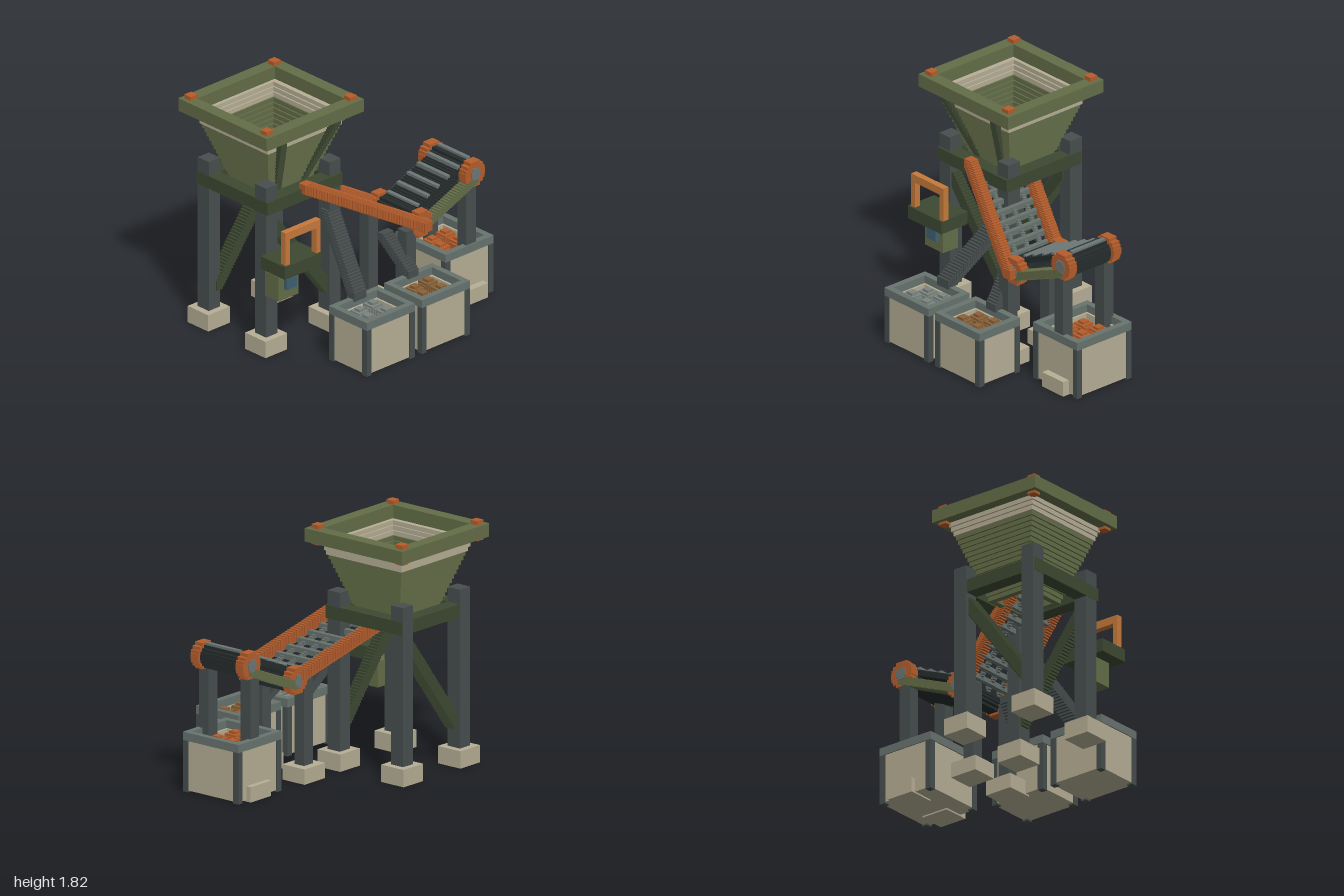
import * as THREE from 'three';
import { mergeGeometries } from 'three/addons/utils/BufferGeometryUtils.js';

const C = {
  olive: 0x646e48, moss: 0x3d4932, beige: 0xb7af96, iron: 0x474f4e, steel: 0x68746f,
  orange: 0xb65e2c, amber: 0xc87a3c, black: 0x262c2c, slat: 0x6d7876, blue: 0x3f6272,
  gravel: 0x7c8681, ochre: 0x8a6238,
};
const mats = {};
const mat = (c) => (mats[c] ??= new THREE.MeshStandardMaterial({ color: C[c], flatShading: true }));

// axis-aligned box given by its limits
function slab(x0, x1, y0, y1, z0, z1) {
  return new THREE.BoxGeometry(x1 - x0, y1 - y0, z1 - z0)
    .translate((x0 + x1) / 2, (y0 + y1) / 2, (z0 + z1) / 2);
}

// row of overlapping blocks from a to b, stepping like a staircase
function stepped(a, b, size, step = 0.024) {
  const p = new THREE.Vector3(...a), q = new THREE.Vector3(...b);
  const n = Math.ceil(p.distanceTo(q) / step);
  return Array.from({ length: n + 1 }, (_, i) => {
    const v = p.clone().lerp(q, i / n);
    return new THREE.BoxGeometry(...size).translate(v.x, v.y, v.z);
  });
}

// blocky disc facing z
function disc(x, y, r, z0, z1, rows = 8) {
  const h = (2 * r) / rows;
  return Array.from({ length: rows }, (_, i) => {
    const d = -r + h * (i + 0.5), w = Math.sqrt(r * r - d * d);
    return slab(x - w, x + w, y + d - h / 2, y + d + h / 2, z0, z1);
  });
}

// four-sided ring of bars
function ring(x0, x1, y0, y1, z0, z1, t) {
  return [
    slab(x0, x1, y0, y1, z0, z0 + t), slab(x0, x1, y0, y1, z1 - t, z1),
    slab(x0, x0 + t, y0, y1, z0 + t, z1 - t), slab(x1 - t, x1, y0, y1, z0 + t, z1 - t),
  ];
}

// blocky lump of material
function lump(x, y, z, r) {
  return [[1, 0.45, 0.6], [0.6, 0.45, 1], [0.8, 0.7, 0.8], [0.45, 1, 0.45]]
    .map(([a, b, c]) => new THREE.BoxGeometry(2 * r * a, 2 * r * b, 2 * r * c).translate(x, y, z));
}

export function createModel() {
  const root = new THREE.Group();
  const group = (name) => {
    const g = new THREE.Group();
    g.name = name;
    root.add(g);
    return g;
  };
  const add = (parent, name, color, parts) => {
    const m = new THREE.Mesh(mergeGeometries(parts), mat(color));
    m.name = name;
    parent.add(m);
  };

  // hopper: square rim over tapering hollow layers
  const hopper = group('hopper');
  const hx = -0.52, hz = -0.335;
  add(hopper, 'rim', 'olive', ring(-1, -0.04, 1.69, 1.79, -0.795, 0.13, 0.097));
  const caps = [];
  for (const x of [-0.935, -0.11]) for (const z of [-0.733, 0.063])
    caps.push(slab(x - 0.033, x + 0.033, 1.67, 1.82, z - 0.033, z + 0.033));
  add(hopper, 'rimCaps', 'orange', caps);
  const bands = { olive: [], beige: [] };
  const layers = 18, y0 = 1.08, dy = (1.69 - y0) / layers;
  for (let i = 0; i < layers; i++) {
    const h = 0.19 + (0.2 * i) / (layers - 1), y = y0 + i * dy;
    bands[i >= 15 ? 'beige' : 'olive']
      .push(...ring(hx - h, hx + h, y, y + dy, hz - h + 0.01, hz + h - 0.01, 0.045));
  }
  add(hopper, 'funnel', 'olive', bands.olive);
  add(hopper, 'funnelCollar', 'beige', bands.beige);
  for (const s of [-1, 1])
    add(hopper, 'hopperStrut', 'moss',
      stepped([hx + s * 0.265, 1.66, 0.06], [hx + s * 0.12, 1.16, -0.16], [0.06, 0.05, 0.05]));

  // tower: legs, pads, top ring and diagonal braces
  const tower = group('tower');
  const legs = [], pads = [];
  for (const x of [-0.845, -0.22]) for (const z of [-0.64, -0.04]) {
    legs.push(slab(x - 0.055, x + 0.055, 0.1, 1.32, z - 0.058, z + 0.058));
    pads.push(slab(x - 0.107, x + 0.107, 0, 0.13, z - 0.107, z + 0.107));
  }
  add(tower, 'legs', 'iron', legs);
  add(tower, 'footPads', 'beige', pads);
  add(tower, 'topBeams', 'moss', ring(-0.903, -0.162, 1.11, 1.21, -0.69, 0.035, 0.11));
  add(tower, 'backBrace', 'moss', stepped([-0.8, 0.31, -0.62], [-0.26, 1.03, -0.62], [0.06, 0.08, 0.1]));
  add(tower, 'frontBrace', 'moss', stepped([-0.8, 1.0, -0.04], [-0.26, 0.31, -0.04], [0.06, 0.08, 0.08]));

  // control station on the front corner leg
  const control = group('controlStation');
  add(control, 'platform', 'moss', [slab(-0.955, -0.595, 0.7, 0.8, 0.02, 0.275)]);
  add(control, 'handrail', 'amber', [
    slab(-0.935, -0.59, 1.0, 1.06, 0.21, 0.26),
    slab(-0.935, -0.895, 0.8, 1.0, 0.21, 0.26), slab(-0.632, -0.59, 0.8, 1.0, 0.21, 0.26),
  ]);
  add(control, 'controlBox', 'olive', [slab(-0.905, -0.71, 0.468, 0.662, 0.01, 0.155)]);
  add(control, 'controlPanel', 'blue', [slab(-0.852, -0.755, 0.55, 0.635, 0.15, 0.185)]);

  // sloping screen: skewed side rails with a lattice deck
  const screen = group('screen');
  const at = (t, z, drop = 0) => [-0.53 + 0.83 * t, 1.215 - 0.45 * t - drop, z + 0.37 * t];
  for (const z of [-0.425, 0.045])
    add(screen, 'sideRail', 'orange', stepped(at(0, z), at(1, z), [0.075, 0.075, 0.07]));
  const lattice = [];
  for (let i = 0; i < 10; i++) {
    const [x, y, z] = at(0.08 + i * 0.095, -0.425, 0.03);
    lattice.push(slab(x - 0.018, x + 0.018, y - 0.02, y + 0.02, z, z + 0.47));
  }
  for (const z of [-0.31, -0.19, -0.07])
    lattice.push(...stepped(at(0.05, z, 0.03), at(0.95, z, 0.03), [0.03, 0.025, 0.03]));
  add(screen, 'deckLattice', 'steel', lattice);

  // discharge chutes to the front bins
  const chutes = group('chutes');
  add(chutes, 'longChute', 'iron', stepped([-0.23, 0.9, -0.02], [-0.38, 0.45, 0.42], [0.12, 0.07, 0.07]));
  add(chutes, 'shortChute', 'iron', stepped([0.09, 0.69, 0.22], [0.14, 0.45, 0.43], [0.1, 0.06, 0.06]));

  // inclined belt conveyor
  const conveyor = group('conveyor');
  const tail = [0.3, 0.768], head = [0.815, 0.995];
  const sides = [[-0.107, -0.035], [0.32, 0.392]];
  const wheels = [], hubs = [];
  for (const [x, y] of [tail, head]) for (const [i, [a, b]] of sides.entries()) {
    wheels.push(...disc(x, y, 0.098, a, b));
    hubs.push(...disc(x, y, 0.045, i ? a : a - 0.008, i ? b + 0.008 : b, 4));
  }
  add(conveyor, 'pulleyWheels', 'orange', wheels);
  add(conveyor, 'hubs', 'slat', hubs);
  add(conveyor, 'belt', 'black', [
    ...disc(...tail, 0.085, -0.02, 0.31), ...disc(...head, 0.085, -0.02, 0.31),
    ...stepped([0.3, 0.83, 0.145], [0.8, 1.04, 0.145], [0.05, 0.035, 0.33]),
    ...stepped([0.32, 0.715, 0.145], [0.82, 0.935, 0.145], [0.05, 0.035, 0.33]),
  ]);
  const cleats = [];
  for (let i = 0; i < 6; i++) {
    const x = 0.335 + i * 0.099, y = Math.min(0.86 + (x - 0.335) * 0.44, 1.075);
    cleats.push(slab(x - 0.016, x + 0.016, y - 0.03, y + 0.022, -0.015, 0.305));
  }
  add(conveyor, 'cleats', 'slat', cleats);
  for (const [a, b] of sides)
    add(conveyor, 'sideBeam', 'olive',
      stepped([0.32, 0.735, (a + b) / 2], [0.82, 0.945, (a + b) / 2], [0.05, 0.055, b - a + 0.006]));
  const posts = [], feet = [];
  for (const [x, top] of [[0.19, 0.75], [0.783, 0.95]]) for (const z of [-0.06, 0.335]) {
    posts.push(slab(x - 0.048, x + 0.048, 0.1, top, z - 0.046, z + 0.046));
    feet.push(slab(x - 0.113, x + 0.113, 0, 0.115, z - 0.105, z + 0.105));
  }
  add(conveyor, 'posts', 'iron', posts);
  add(conveyor, 'postFeet', 'beige', feet);

  // collecting bins with piles of sorted material
  const bins = [
    ['leftBin', -0.635, -0.16, 0.395, 0.79, 0.43, 'gravel'],
    ['middleBin', -0.09, 0.385, 0.395, 0.79, 0.43, 'ochre'],
    ['rightBin', 0.52, 0.995, -0.133, 0.393, 0.447, 'orange'],
  ];
  for (const [name, x0, x1, z0, z1, h, fill] of bins) {
    const bin = group(name), t = 0.048, e = 0.008;
    add(bin, 'rim', 'steel', ring(x0, x1, h - 0.062, h, z0, z1, t));
    add(bin, 'walls', 'beige', [
      ...ring(x0 + e, x1 - e, 0.012, h - 0.06, z0 + e, z1 - e, t + 0.008),
      slab(x0 + 0.05, x1 - 0.05, 0.012, h - 0.13, z0 + 0.05, z1 - 0.05),
    ]);
    const corners = [];
    for (const x of [x0, x1 - t]) for (const z of [z0, z1 - t])
      corners.push(slab(x, x + t, 0, h - 0.062, z, z + t));
    add(bin, 'cornerPosts', 'iron', corners);
    const cx = (x0 + x1) / 2, cz = (z0 + z1) / 2;
    const pile = [[-0.06, -0.065, 0.06], [0.085, -0.08, 0.062], [-0.095, 0.055, 0.065], [0.075, 0.07, 0.064]];
    add(bin, 'pile', fill, pile.flatMap(([x, z, r]) => lump(cx + x, h - 0.09, cz + z, r)));
  }
  return root;
}
